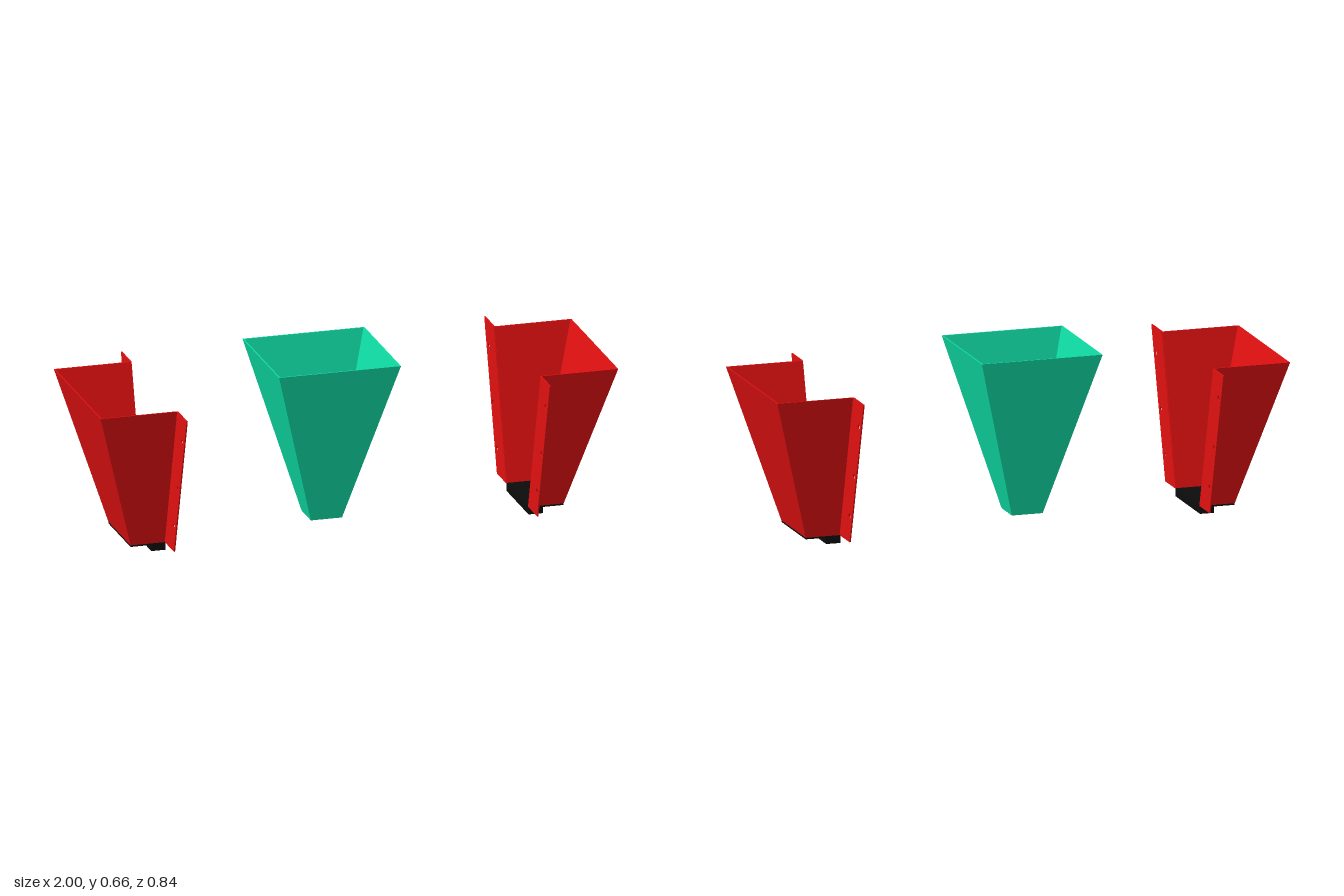
import * as THREE from 'three';

const red = new THREE.MeshStandardMaterial({ color: 0xe01010, flatShading: true, side: THREE.DoubleSide });
const green = new THREE.MeshStandardMaterial({ color: 0x0fdca4, flatShading: true, side: THREE.DoubleSide });
const black = new THREE.MeshStandardMaterial({ color: 0x0c0c0c, flatShading: true });

function add(parent, name, geometry, material, x = 0, y = 0, z = 0) {
  const mesh = new THREE.Mesh(geometry, material);
  mesh.name = name;
  mesh.position.set(x, y, z);
  parent.add(mesh);
  return mesh;
}

// Sheet wall skinned through four paths: outer bottom, outer top, inner top, inner bottom
function shell(rings, closed) {
  const positions = [];
  const quad = (a, b, c, d) => positions.push(...a, ...b, ...c, ...a, ...c, ...d);
  const n = rings[0].length;
  for (let i = 0; i < (closed ? n : n - 1); i++) {
    const j = (i + 1) % n;
    rings.forEach((ring, r) => {
      const next = rings[(r + 1) % rings.length];
      quad(ring[i], ring[j], next[j], next[i]);
    });
  }
  if (!closed) {
    quad(...rings.map((ring) => ring[0]));
    quad(...rings.map((ring) => ring[n - 1]).reverse());
  }
  const geometry = new THREE.BufferGeometry();
  geometry.setAttribute('position', new THREE.Float32BufferAttribute(positions, 3));
  geometry.computeVertexNormals();
  return geometry;
}

// Square ring of half width h at height y
const square = (h, y) => [[h, y, h], [h, y, -h], [-h, y, -h], [-h, y, h]];

// Three-sided path, open towards the middle of the model
const channel = (x, z, y) => [[0.7, y, z], [x, y, z], [x, y, -z], [0.7, y, -z]];

// Slanted mounting flange with three bolt holes, drawn in (z, y)
function flangeGeometry(side) {
  const shape = new THREE.Shape([[0.14, 0.03], [0.258, 0.03], [0.42, 0.59], [0.3, 0.59]]
    .map(([z, y]) => new THREE.Vector2(z * side, y)));
  for (const [z, y] of [[0.256, 0.128], [0.309, 0.291], [0.363, 0.492]]) {
    const hole = new THREE.Path();
    hole.absarc(z * side, y, 0.0105, 0, Math.PI * 2, true);
    shape.holes.push(hole);
  }
  const geometry = new THREE.ExtrudeGeometry(shape, { depth: 0.005, bevelEnabled: false, curveSegments: 16 });
  return geometry.rotateY(-Math.PI / 2).translate(0.703, 0, 0);
}

function createHalfHousing(name) {
  const half = new THREE.Group();
  half.name = name;
  const t = 0.005;
  add(half, 'housingWalls', shell([
    channel(0.835, 0.142, 0.03), channel(0.998, 0.3, 0.59),
    channel(0.998 - t, 0.3 - t, 0.59), channel(0.835 - t, 0.142 - t, 0.03),
  ], false), red);
  add(half, 'flangeLeft', flangeGeometry(1), red);
  add(half, 'flangeRight', flangeGeometry(-1), red);
  // Floor plate with a lip below it
  add(half, 'floorPlate', new THREE.BoxGeometry(0.135, 0.008, 0.284), black, 0.7675, 0.028, 0);
  add(half, 'floorLip', new THREE.BoxGeometry(0.055, 0.026, 0.284), black, 0.7275, 0.013, 0);
  return half;
}

export function createModel() {
  const model = new THREE.Group();
  model.name = 'hopperAssembly';

  // The two housing halves face each other
  const left = createHalfHousing('housingLeft');
  const right = createHalfHousing('housingRight');
  right.rotation.y = Math.PI;
  model.add(left, right);

  // Tapered funnel, open at both ends
  const hopper = new THREE.Group();
  hopper.name = 'hopper';
  hopper.position.x = -0.055;
  const t = 0.005;
  add(hopper, 'hopperWalls', shell([
    square(0.06, 0.03), square(0.235, 0.66), square(0.235 - t, 0.66), square(0.06 - t, 0.03),
  ], true), green);
  // Ledges inside the funnel
  for (const side of [-1, 1]) {
    add(hopper, side > 0 ? 'ledgeLeft' : 'ledgeRight',
      new THREE.BoxGeometry(0.08, 0.008, 0.336), green, side * 0.128, 0.43, 0);
  }
  model.add(hopper);
  return model;
}
